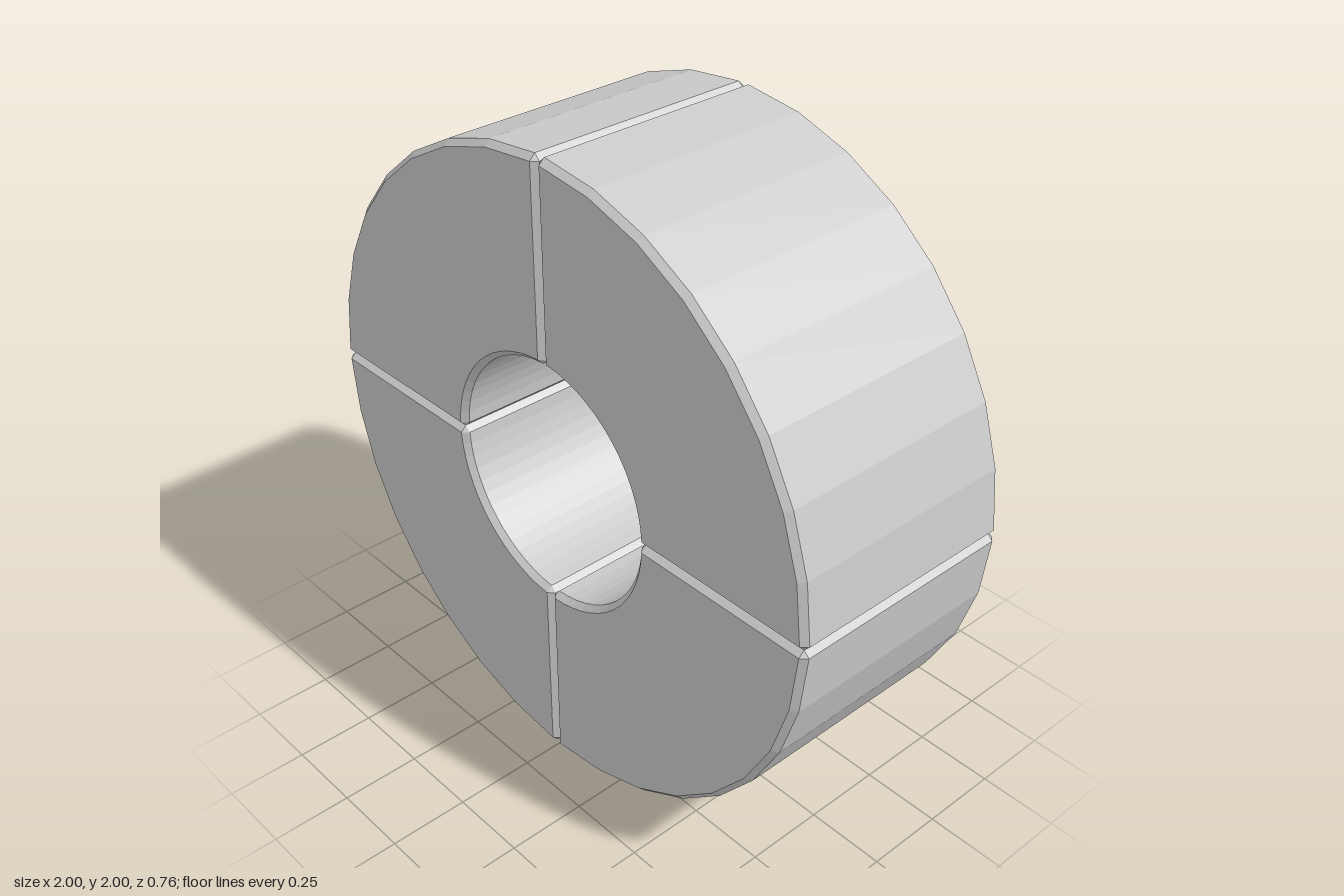
import * as THREE from 'three';

const OUTER = 1, INNER = 0.383, HALF_DEPTH = 0.38, BEVEL = 0.018;

// Points along an arc, inset from the quadrant's straight sides by the bevel
function arc(radius, segments) {
  const start = Math.asin(BEVEL / radius), sweep = Math.PI / 2 - 2 * start;
  return Array.from({ length: segments + 1 }, (_, i) => {
    const a = start + (sweep * i) / segments;
    return new THREE.Vector2(radius * Math.cos(a), radius * Math.sin(a));
  });
}

// Quarter ring with every edge chamfered
function quarterRing() {
  const outer = arc(OUTER - BEVEL, 8), inner = arc(INNER + BEVEL, 14).reverse();
  const outline = [...outer, ...inner]; // flat end face, counter-clockwise
  const first = (list) => list[0], last = (list) => list[list.length - 1];

  // Face ring repeats its corners so that it matches the wider wall ring
  const face = [first(outer), ...outer, last(outer), first(inner), ...inner, last(inner)];
  const grow = (list, r) => list.map((p) => p.clone().setLength(r));
  const onX = (p) => new THREE.Vector2(p.x, 0), onY = (p) => new THREE.Vector2(0, p.y);
  const wall = [
    onX(first(outer)), ...grow(outer, OUTER), onY(last(outer)),
    onY(first(inner)), ...grow(inner, INNER), onX(last(inner)),
  ];

  const positions = [];
  const tri = (a, b, c) => {
    const pts = [a, b, c].map(([p, z]) => new THREE.Vector3(p.x, p.y, z));
    const area = new THREE.Triangle(...pts).getArea();
    if (area > 1e-9) pts.forEach((p) => positions.push(p.x, p.y, p.z));
  };

  // Chamfer, wall, chamfer
  const rings = [
    [face, -HALF_DEPTH], [wall, -HALF_DEPTH + BEVEL],
    [wall, HALF_DEPTH - BEVEL], [face, HALF_DEPTH],
  ];
  for (let k = 0; k < 3; k++) {
    const [low, z0] = rings[k], [high, z1] = rings[k + 1];
    for (let i = 0; i < face.length; i++) {
      const j = (i + 1) % face.length;
      tri([low[i], z0], [low[j], z0], [high[j], z1]);
      tri([low[i], z0], [high[j], z1], [high[i], z1]);
    }
  }

  // Front and back end faces
  for (const [a, b, c] of THREE.ShapeUtils.triangulateShape(outline, [])) {
    const [p, q, r] = [outline[a], outline[b], outline[c]];
    tri([p, HALF_DEPTH], [q, HALF_DEPTH], [r, HALF_DEPTH]);
    tri([r, -HALF_DEPTH], [q, -HALF_DEPTH], [p, -HALF_DEPTH]);
  }

  const geometry = new THREE.BufferGeometry();
  geometry.setAttribute('position', new THREE.Float32BufferAttribute(positions, 3));
  geometry.computeVertexNormals();
  return geometry;
}

export function createModel() {
  const model = new THREE.Group();
  model.name = 'segmentedRing';
  const geometry = quarterRing();
  const material = new THREE.MeshStandardMaterial({ color: 0xcccccc, flatShading: true });

  // Four touching segments, leaving V grooves between them
  ['upperLeft', 'upperRight', 'lowerRight', 'lowerLeft'].forEach((place, i) => {
    const segment = new THREE.Mesh(geometry, material);
    segment.name = `${place}Segment`;
    segment.rotation.z = (i * Math.PI) / 2;
    segment.position.y = OUTER;
    model.add(segment);
  });
  return model;
}
